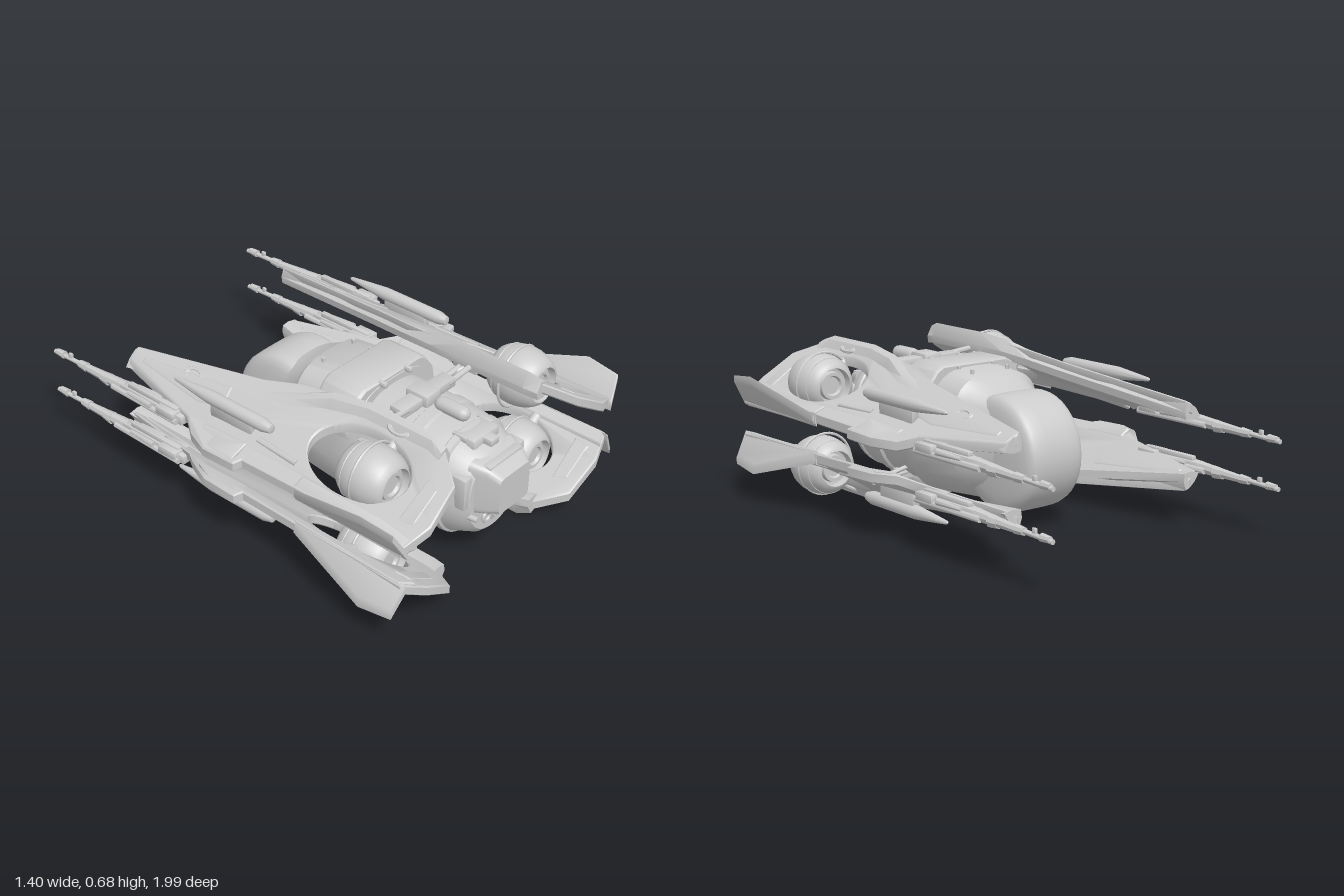
import * as THREE from 'three';
import { toCreasedNormals } from 'three/addons/utils/BufferGeometryUtils.js';
import { RoundedBoxGeometry } from 'three/addons/geometries/RoundedBoxGeometry.js';

const MID = 0.347; // height of the mirror plane between upper and lower wings
const grey = new THREE.MeshStandardMaterial({ color: 0xcccccc, side: THREE.DoubleSide });

function add(parent, name, geo) {
  const mesh = new THREE.Mesh(toCreasedNormals(geo, 0.6), grey);
  mesh.name = name;
  parent.add(mesh);
}

// Copy a geometry mirrored in x and / or about the middle height
function mirrored(geo, sx, sy) {
  const g = geo.index ? geo.toNonIndexed() : geo.clone();
  g.translate(0, -MID, 0).scale(sx, sy, 1).translate(0, MID, 0);
  if (sx * sy < 0) {
    const p = g.attributes.position, a = new THREE.Vector3(), b = new THREE.Vector3();
    for (let i = 0; i < p.count; i += 3) {
      a.fromBufferAttribute(p, i + 1);
      b.fromBufferAttribute(p, i + 2);
      p.setXYZ(i + 1, b.x, b.y, b.z);
      p.setXYZ(i + 2, a.x, a.y, a.z);
    }
  }
  return g;
}

// Skin over rings of [x, y, z] points: rings run towards +z, points counter-clockwise seen from +z
function skin(rings) {
  const n = rings[0].length, idx = [];
  const centre = r => r.map(() => [0, 1, 2].map(k => r.reduce((s, p) => s + p[k], 0) / n));
  const all = [centre(rings[0]), ...rings, centre(rings.at(-1))];
  for (let i = 0; i < all.length - 1; i++) for (let j = 0; j < n; j++) {
    const k = i * n + j, l = i * n + (j + 1) % n;
    idx.push(k, l, k + n, l, l + n, k + n);
  }
  const g = new THREE.BufferGeometry();
  g.setAttribute('position', new THREE.Float32BufferAttribute(all.flat(2), 3));
  g.setIndex(idx);
  return g;
}

// Hull through superellipse sections [z, centreY, halfWidth, halfHeight], squarer above than below
function loft(sections, top = 2.6, bottom = top, n = 40) {
  const bend = (v, power) => Math.sign(v) * Math.abs(v) ** (2 / power);
  return skin(sections.map(([z, cy, w, h]) => Array.from({ length: n }, (_, j) => {
    const a = (j / n) * Math.PI * 2, power = j < n / 2 ? top : bottom;
    return [w * bend(Math.cos(a), power), cy + h * bend(Math.sin(a), power), z];
  })));
}

// Bevelled plate drawn in plan (x, z), then lifted by a rule y(x, z)
function plate(points, thick, height, hole) {
  const shape = new THREE.Shape(points.map(p => new THREE.Vector2(...p)));
  if (hole) shape.holes.push(new THREE.Path().absellipse(...hole, 0, Math.PI * 2, true));
  const g = new THREE.ExtrudeGeometry(shape, {
    depth: thick, curveSegments: 24, bevelSize: 0.006, bevelThickness: 0.006, bevelSegments: 1, bevelOffset: -0.006
  });
  g.rotateX(Math.PI / 2).translate(0, thick / 2, 0);
  const p = g.attributes.position;
  for (let i = 0; i < p.count; i++) p.setY(i, p.getY(i) + height(p.getX(i), p.getZ(i)));
  return g;
}

const box = (w, h, d, x, y, z, r = 0.006) => new RoundedBoxGeometry(w, h, d, 1, r).translate(x, y, z);

function rod(a, b, r1, r2 = r1, sides = 12) {
  const A = new THREE.Vector3(...a), d = new THREE.Vector3(...b).sub(A);
  const q = new THREE.Quaternion().setFromUnitVectors(new THREE.Vector3(0, 1, 0), d.clone().normalize());
  return new THREE.CylinderGeometry(r2, r1, d.length(), sides).applyQuaternion(q)
    .translate(...A.addScaledVector(d, 0.5).toArray());
}

// Lathe turned about the z axis, profile [radius, z]
const latheZ = (profile, x, y, z, n = 36) => new THREE.LatheGeometry(
  profile.map(p => new THREE.Vector2(...p)), n).rotateX(Math.PI / 2).translate(x, y, z);

const ring = (r, t, x, y, z) => new THREE.TorusGeometry(r, t, 6, 36).translate(x, y, z);

// Parts of the upper left wing, mirrored for all four
function wingParts() {
  // The wing falls outwards, levels off at its outer edge and dips towards the tail
  const slope = -0.62;
  const wingY = (x, z) => 0.645 + slope * (Math.min(x, 0.615) - 0.27) - 0.035 * Math.max(0, 0.35 - z);
  const parts = [];
  const put = (name, geo) => parts.push([name, geo]);
  const panel = (name, points, thick, hole) => put(name, plate(points, thick, wingY, hole));

  panel('wingPlate', [[0.28, 0.84], [0.275, 0.5], [0.285, 0.33], [0.3, 0.18], [0.345, 0], [0.43, -0.62], [0.445, -0.635],
    [0.492, -0.62], [0.575, -0.2], [0.625, -0.13], [0.67, -0.02], [0.67, 0.14], [0.63, 0.15], [0.63, 0.42],
    [0.645, 0.95], [0.53, 0.99], [0.38, 0.975]], 0.034, [0.455, 0.585, 0.118, 0.232]);
  put('winglet', plate([[0.625, 0.42], [0.64, 0.43], [0.702, 0.8], [0.692, 0.95], [0.63, 0.97]], 0.028,
    x => 0.42 + 1.7 * (x - 0.63)));
  panel('wingletRoot', [[0.58, 0.42], [0.635, 0.42], [0.64, 0.94], [0.58, 0.97]], 0.045);

  // Bevelled inner edge [x, z, bevel width, ridge height] from tail to front
  const edge = [[0.42, -0.63, 0.012, 0.016], [0.36, -0.25, 0.04, 0.016], [0.32, 0, 0.06, 0.016], [0.28, 0.18, 0.065, 0.026],
    [0.262, 0.33, 0.035, 0.04], [0.25, 0.5, 0.024, 0.042], [0.25, 0.8, 0.024, 0.042], [0.265, 0.86, 0.024, 0.03]];
  put('innerRail', skin(edge.map(([x, z, w, h]) => {
    const y = wingY(x + 0.03, z), r = wingY(x + w, z) + h;
    return [[x, y - 0.01, z], [x + 0.005, y - 0.042, z], [x + 0.04, y - 0.047, z], [x + 0.085, y - 0.037, z],
      [x + w + 0.05, wingY(x + w + 0.05, z) + 0.017, z], [x + w + 0.028, r - 0.012, z], [x + w, r, z]];
  })));
  panel('tailPanel', [[0.42, -0.1], [0.455, -0.56], [0.48, -0.56], [0.52, -0.2], [0.5, -0.08]], 0.042);
  panel('sidePanel', [[0.57, 0.12], [0.57, -0.1], [0.62, -0.1], [0.655, -0.01], [0.655, 0.12]], 0.044);
  panel('frontPanel', [[0.4, 0.87], [0.42, 0.93], [0.56, 0.93], [0.57, 0.86]], 0.04);
  for (const [x, z, lift] of [[0.435, -0.3, 0.019], [0.305, 0.65, 0.03]])
    put('wingPort', new THREE.TorusGeometry(0.022, 0.008, 6, 20).scale(1, 1.9, 1).rotateX(Math.PI / 2)
      .rotateZ(Math.atan(slope)).translate(x, wingY(x, z) + lift, z));

  // Pod lying on the wing
  put('pod', latheZ([[0, -0.3], [0.008, -0.29], [0.018, -0.2], [0.028, -0.1], [0.028, 0.19], [0.018, 0.23], [0, 0.235]],
    0.525, 0.56, -0.02, 16));
  put('podMount', box(0.035, 0.08, 0.22, 0.52, 0.52, 0));
  put('podRail', rod([0.535, 0.488, 0.15], [0.55, 0.485, 0.36], 0.014));

  // Ball engine, dished with nested rings at both ends
  const [ex, ey, ez] = [0.453, 0.523, 0.652];
  const dish = [[0, 0.086], [0.036, 0.086], [0.042, 0.098], [0.056, 0.098], [0.06, 0.078], [0.072, 0.08],
    [0.076, 0.112], [0.09, 0.106], [0.103, 0.088], [0.114, 0.064], [0.122, 0.034]];
  put('engine', latheZ([...dish.map(([r, z]) => [r, -z]), [0.125, 0], ...dish.slice().reverse()], ex, ey, ez));
  put('engineBand', ring(0.112, 0.004, ex, ey, ez - 0.065));
  put('engineRing', ring(0.131, 0.006, ex - 0.01, ey - 0.003, ez - 0.01));
  put('engineAxle', rod([0.32, 0.605, 0.652], [0.59, 0.438, 0.652], 0.024));

  // Struts joining wing to hull
  for (const [z, dy] of [[0.49, 0], [0.54, 0.02]])
    put('strut', rod([0.12, 0.575 + dy, z], [0.29, 0.59 + dy, z], 0.012));
  put('strutFoot', box(0.04, 0.05, 0.12, 0.275, 0.605, 0.515));
  put('strutBrace', rod([0.15, 0.54, 0.45], [0.28, 0.6, 0.52], 0.01));
  return parts;
}

// Long gun at the wing edge, with muzzle pointing to -z
function gun(parent, x, y) {
  const g = new THREE.Group();
  g.name = 'gun';
  add(g, 'gunReceiver', box(0.046, 0.04, 0.36, 0, 0, -0.4));
  add(g, 'gunCover', box(0.026, 0.026, 0.28, 0, 0.025, -0.4));
  add(g, 'gunMount', box(0.085, 0.035, 0.1, 0, 0.012, -0.3));
  for (const s of [-1, 1]) {
    add(g, 'gunTube', rod([s * 0.03, -0.006, -0.24], [s * 0.022, -0.008, -0.62], 0.013));
    add(g, 'gunCell', rod([s * 0.034, 0.012, -0.38], [s * 0.03, 0.01, -0.52], 0.013, 0.008));
  }
  add(g, 'gunShroud', rod([0, 0, -0.56], [0, -0.008, -0.8], 0.027, 0.016, 8));
  add(g, 'gunBarrel', rod([0, -0.005, -0.78], [0, -0.012, -1], 0.01));
  for (const [z, r] of [[-0.66, 0.027], [-0.8, 0.02], [-0.94, 0.017]])
    add(g, 'barrelCollar', rod([0, -0.007, z], [0, -0.007, z - 0.045], r, r * 0.8, 8));
  add(g, 'gunSight', box(0.012, 0.03, 0.02, 0, 0.004, -0.9, 0.003));
  g.position.set(x, y, 0);
  parent.add(g);
}

export function createModel() {
  const model = new THREE.Group();
  model.name = 'spacecraft';

  // Fuselage shells
  add(model, 'rearHull', loft([[-0.2, 0.31, 0.135, 0.2], [-0.08, 0.315, 0.172, 0.225], [0.01, 0.335, 0.203, 0.245],
    [0.04, 0.34, 0.228, 0.262], [0.26, 0.34, 0.243, 0.28], [0.34, 0.34, 0.245, 0.285], [0.37, 0.34, 0.235, 0.27]], 3.2, 2.2));
  add(model, 'midHull', loft([[0.34, 0.33, 0.215, 0.255], [0.5, 0.33, 0.215, 0.255], [0.58, 0.325, 0.218, 0.25],
    [0.68, 0.325, 0.218, 0.245], [0.76, 0.325, 0.21, 0.23], [0.86, 0.325, 0.175, 0.19], [0.88, 0.325, 0.155, 0.17]], 2.6, 2.1));
  add(model, 'collar', loft([[0.56, 0.325, 0.21, 0.24], [0.575, 0.325, 0.228, 0.258], [0.625, 0.325, 0.228, 0.256], [0.64, 0.325, 0.21, 0.24]], 2.6, 2.1));
  add(model, 'noseCowl', loft([[0.73, 0.325, 0.21, 0.23], [0.74, 0.325, 0.219, 0.24], [0.765, 0.325, 0.216, 0.236], [0.775, 0.325, 0.2, 0.22]], 2.6, 2.1));
  add(model, 'nose', loft([[0.85, 0.385, 0.14, 0.12], [0.92, 0.385, 0.115, 0.105], [0.97, 0.375, 0.092, 0.08]], 9));
  add(model, 'noseFrame', box(0.2, 0.022, 0.05, 0, 0.485, 0.9));
  add(model, 'noseBrow', box(0.16, 0.07, 0.1, 0, 0.525, 0.78, 0.015));
  add(model, 'noseLip', box(0.14, 0.03, 0.1, 0, 0.285, 0.9));
  for (const x of [-0.05, 0, 0.05]) add(model, 'noseSensor', ring(0.02, 0.008, x, 0.225 - (x ? 0 : 0.01), 0.885));
  add(model, 'chinSensor', rod([0, 0.225, 0.84], [0, 0.225, 0.9], 0.035, 0.025));

  // Angular shoulder arch over the hull
  const half = [[0.262, 0.44], [0.266, 0.47], [0.25, 0.54], [0.2, 0.608], [0.165, 0.628]];
  const arch = new THREE.Shape([...half, ...half.slice().reverse().map(([x, y]) => [-x, y])].map(p => new THREE.Vector2(...p)));
  add(model, 'shoulderArch', new THREE.ExtrudeGeometry(arch, {
    depth: 0.17, bevelSize: 0.008, bevelThickness: 0.012, bevelSegments: 1, bevelOffset: -0.008
  }).translate(0, 0, 0.185));

  // Broad rounded wheel-shaped drum at the back
  const drum = [[0, 0.155], [0.1, 0.152], [0.16, 0.147], [0.195, 0.141], [0.218, 0.133], [0.233, 0.12], [0.24, 0.1], [0.242, 0.05]];
  const drumProfile = [...drum.map(([r, x]) => [r, -x]), ...drum.slice().reverse()];
  add(model, 'rearDrum', new THREE.LatheGeometry(drumProfile.map(p => new THREE.Vector2(...p)), 36)
    .rotateZ(-Math.PI / 2).translate(0, 0.305, -0.12));

  // Roof and belly gear
  add(model, 'roofBeam', box(0.32, 0.04, 0.07, 0, 0.59, 0.515));
  add(model, 'roofHub', box(0.09, 0.06, 0.11, 0, 0.595, 0.515, 0.012));
  add(model, 'roofPod', new THREE.CapsuleGeometry(0.03, 0.1, 4, 14).rotateX(Math.PI / 2).translate(0, 0.595, 0.66));
  add(model, 'roofSpine', box(0.05, 0.03, 0.14, 0, 0.54, 0.8));
  add(model, 'bellyKeel', box(0.2, 0.05, 0.4, 0, 0.085, 0.46, 0.015));
  add(model, 'bellyBeam', box(0.32, 0.04, 0.07, 0, 0.11, 0.515));

  // Side modules, cheeks and latches on both flanks
  for (const s of [-1, 1]) {
    add(model, 'sideModule', box(0.03, 0.16, 0.16, s * 0.215, 0.36, 0.46));
    add(model, 'sidePort', new THREE.TorusGeometry(0.028, 0.009, 6, 20).scale(1.7, 1, 1).rotateY(Math.PI / 2)
      .translate(s * 0.22, 0.355, 0.7));
    add(model, 'cheekBox', box(0.05, 0.14, 0.07, s * 0.16, 0.385, 0.84));
    add(model, 'cheekRod', rod([s * 0.155, 0.27, 0.8], [s * 0.14, 0.27, 0.91], 0.012));
    for (const z of [0.36, 0.76]) add(model, 'roofLatch', box(0.02, 0.025, 0.07, s * 0.075, z < 0.5 ? 0.615 : 0.55, z));
    for (const z of [0.08, 0.17]) add(model, 'hullBolt', rod([s * 0.09, 0.58, z], [s * 0.09, 0.618, z], 0.008));
  }

  // Four wings and their guns
  const parts = wingParts();
  for (const sx of [1, -1]) for (const sy of [1, -1]) {
    const wing = new THREE.Group();
    wing.name = (sy > 0 ? 'upper' : 'lower') + (sx > 0 ? 'LeftWing' : 'RightWing');
    for (const [name, geo] of parts) add(wing, name, mirrored(geo, sx, sy));
    gun(wing, sx * 0.578 + 0.01, sy > 0 ? 0.425 : 0.235);
    model.add(wing);
  }
  return model;
}
